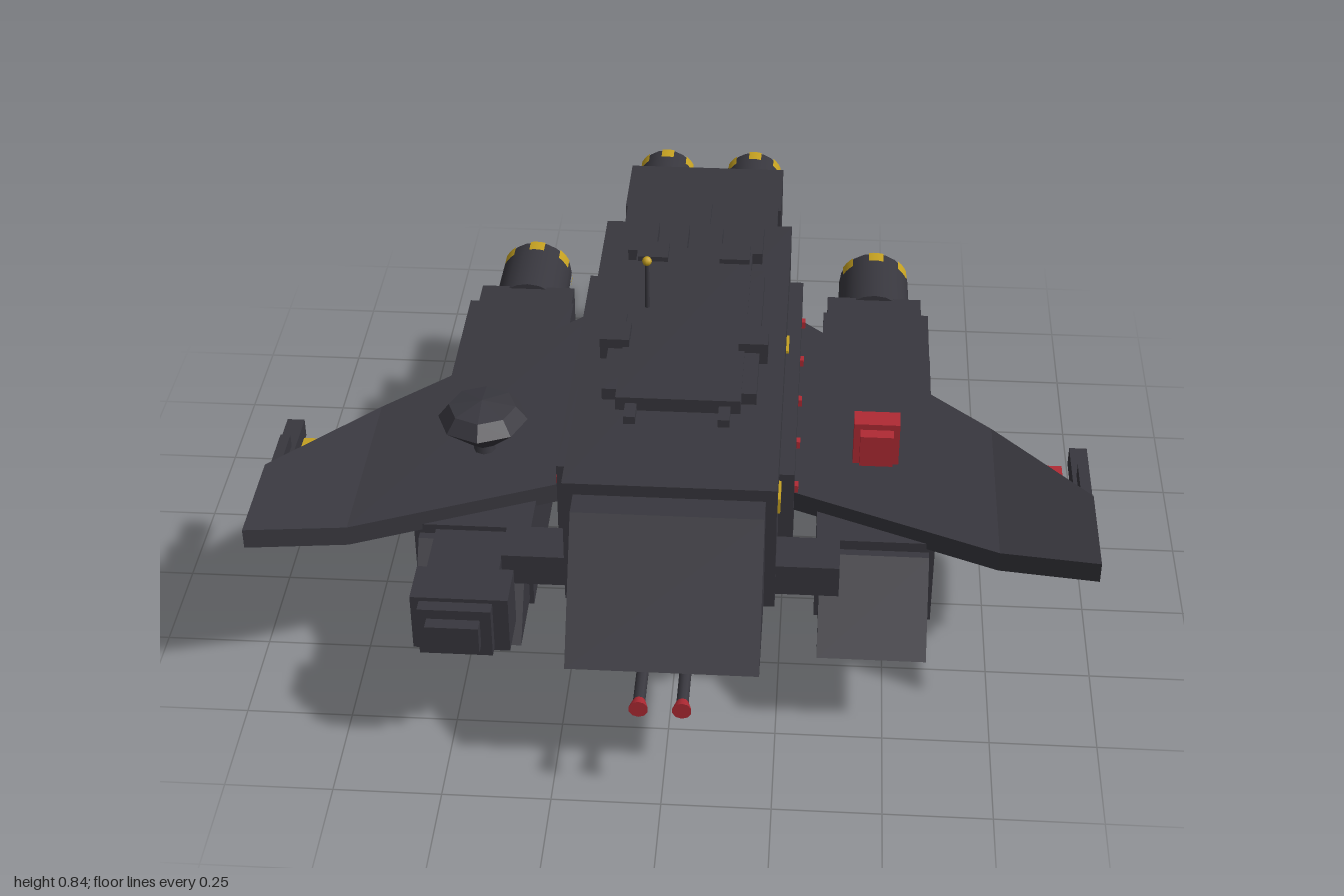
import * as THREE from 'three';

const material = (name, color) => {
  const m = new THREE.MeshStandardMaterial({ color });
  m.name = name;
  return m;
};

export function createModel() {
  const hull = material('dark hull', 0x38373e);
  const red = material('red', 0xb02a34);
  const gold = material('gold', 0xc4a021);
  const pale = material('pale metal', 0x9c9c92);
  const root = new THREE.Group();
  root.name = 'dropship';

  const add = (name, geometry, mat = hull) => {
    const mesh = new THREE.Mesh(geometry, mat);
    mesh.name = name;
    root.add(mesh);
    return mesh;
  };
  // Box from its extents on each axis
  const box = (name, x0, x1, y0, y1, z0, z1, mat) => {
    const g = new THREE.BoxGeometry(Math.abs(x1 - x0), y1 - y0, z1 - z0);
    return add(name, g.translate((x0 + x1) / 2, (y0 + y1) / 2, (z0 + z1) / 2), mat);
  };
  // Side profile of [z, y] points, extruded across x
  const prism = (name, x0, x1, points, mat) => {
    const shape = new THREE.Shape(points.map(([z, y]) => new THREE.Vector2(-z, y)));
    const g = new THREE.ExtrudeGeometry(shape, { depth: Math.abs(x1 - x0), bevelEnabled: false });
    return add(name, g.rotateY(Math.PI / 2).translate(Math.min(x0, x1), 0, 0), mat);
  };
  // Cylinder between two points
  const rod = (name, a, b, ra, rb = ra, mat = hull, sides = 16) => {
    const p = new THREE.Vector3(...a), q = new THREE.Vector3(...b);
    const mesh = add(name, new THREE.CylinderGeometry(rb, ra, p.distanceTo(q), sides), mat);
    mesh.position.copy(p).add(q).multiplyScalar(0.5);
    mesh.quaternion.setFromUnitVectors(new THREE.Vector3(0, 1, 0), q.sub(p).normalize());
  };
  // Engine with gold plates around the rim and a gold core
  const engine = (x, y, z0, z1, r) => {
    rod('engine', [x, y, z0], [x, y, z1], r * 1.03, r, hull, 20);
    rod('engineCore', [x, y, z1 + 0.01], [x, y, z1 - 0.018], r * 0.3, r * 0.3, gold, 8);
    for (let i = 0; i < 7; i++) {
      const g = new THREE.CylinderGeometry(r + 0.003, r + 0.003, 0.04, 3, 1, true, i * Math.PI * 2 / 7 + 0.2, 0.42);
      const plate = add('engineRimPlate', g, gold);
      plate.rotation.x = Math.PI / 2;
      plate.position.set(x, y, z1 + 0.02);
    }
  };
  // Landing leg with foot, mount and an angled door
  const leg = (top, foot, doorX, door) => {
    const [fx, fy, fz] = foot;
    rod('legStrut', top, [fx, fy + 0.02, fz], 0.03);
    rod('legPiston', top, [(top[0] + fx) / 2, (top[1] + fy) / 2, (top[2] + fz) / 2], 0.038);
    rod('foot', [fx, fy, fz], [fx, fy + 0.028, fz], 0.07, 0.055);
    rod('footAnkle', [fx, fy + 0.028, fz], [fx, fy + 0.045, fz], 0.045, 0.03);
    box('legMount', top[0] - 0.06, top[0] + 0.06, top[1] - 0.015, top[1] + 0.02, top[2] - 0.07, top[2] + 0.07);
    for (const s of [-1, 1])
      box('legMountMark', top[0] + s * 0.03, top[0] + s * 0.058, top[1] - 0.02, top[1] - 0.012, top[2] + 0.03, top[2] + 0.068, gold);
    const [[z0, y0], [z1, y1]] = door;
    prism('legDoor', doorX - 0.04, doorX + 0.04, [[z0, y0], [z0 - 0.01, y0], [z1 - 0.01, y1], [z1, y1]]);
  };

  // Main body, sloped nose and tail
  box('hull', -0.24, 0.24, 0.34, 0.67, -0.45, 0.69);
  prism('nose', -0.215, 0.215, [[0.68, 0.355], [0.95, 0.355], [0.755, 0.64], [0.68, 0.64]]);
  box('tailFront', -0.2, 0.2, 0.4, 0.632, -0.62, -0.44);
  box('tailRear', -0.207, 0.207, 0.39, 0.622, -0.83, -0.61);
  box('tailRidge', -0.025, 0.025, 0.62, 0.645, -0.61, -0.44);

  // Roof plating and antenna
  box('roofPlate', -0.145, 0.145, 0.66, 0.705, -0.27, 0.4);
  box('roofPlateWide', -0.18, 0.18, 0.66, 0.7, -0.18, 0.36);
  rod('antenna', [-0.1, 0.7, 0.01], [-0.1, 0.83, 0.01], 0.006, 0.005, hull, 8);
  add('antennaTip', new THREE.SphereGeometry(0.012, 8, 6).translate(-0.1, 0.835, 0.01), gold);

  for (const s of [-1, 1]) {
    // Roof details
    box('roofBackTab', s * 0.1, s * 0.17, 0.66, 0.7, -0.4, -0.26);
    box('roofBackTab', s * 0.022, s * 0.065, 0.66, 0.7, -0.4, -0.26);
    box('roofHatch', s * 0.065, s * 0.14, 0.69, 0.718, -0.275, -0.2);
    box('roofBlock', s * 0.13, s * 0.2, 0.66, 0.725, 0.11, 0.19);
    box('roofBlockStep', s * 0.145, s * 0.18, 0.66, 0.715, 0.06, 0.11);
    box('roofFrontTab', s * 0.095, s * 0.122, 0.66, 0.69, 0.38, 0.455);

    // Side armour with lights
    box('sidePanel', s * 0.23, s * 0.275, 0.33, 0.575, -0.33, 0.5);
    for (let i = 0; i < 5; i++) {
      const z = -0.268 + i * 0.175;
      box('sideLight', s * 0.27, s * 0.284, 0.482, 0.5, z - 0.01, z + 0.01, red);
    }
    box('sideWindow', s * 0.238, s * 0.246, 0.54, 0.58, 0.53, 0.6, gold);
    box('sideSlit', s * 0.238, s * 0.247, 0.574, 0.582, -0.07, 0.0, gold);
    box('podBridge', s * 0.21, s * 0.385, 0.37, 0.45, 0.57, 0.68);

    // Engine pods
    box('pod', s * 0.33, s * 0.603, 0.22, 0.445, -0.395, 0.57);
    prism('podNose', s * 0.34, s * 0.59, [[0.56, 0.235], [0.74, 0.235], [0.59, 0.42], [0.56, 0.42]]);
    box('podTail', s * 0.34, s * 0.587, 0.225, 0.42, -0.51, -0.39);
    box('podSidePanel', s * 0.6, s * 0.608, 0.26, 0.4, -0.27, 0.3);
    engine(s * 0.465, 0.338, -0.5, -0.72, 0.094);
    engine(s * 0.122, 0.51, -0.82, -0.983, 0.078);

    // Forward-swept wing with a raised outer section
    const stations = [
      { x: 0.25, back: -0.32, front: 0.43, y: 0.43 },
      { x: 0.745, back: 0.155, front: 0.638, y: 0.43 },
      { x: 0.962, back: 0.48, front: 0.73, y: 0.483 },
    ];
    const wing = new THREE.BoxGeometry(1, 1, 1, 2, 1, 1);
    const p = wing.attributes.position;
    for (let i = 0; i < p.count; i++) {
      const k = stations[Math.round((p.getX(i) * s + 0.5) * 2)];
      p.setXYZ(i, s * k.x, k.y + (p.getY(i) > 0 ? 0.05 : 0), p.getZ(i) > 0 ? k.front : k.back);
    }
    const flatWing = wing.toNonIndexed();
    flatWing.computeVertexNormals();
    add('wing', flatWing);

    // Wing-tip gun and navigation light
    box('tipPylon', s * 0.942, s * 0.966, 0.45, 0.49, 0.3, 0.52);
    box('tipGun', s * 0.932, s * 0.974, 0.41, 0.457, 0.19, 0.41);
    rod('tipGunMuzzle', [s * 0.953, 0.432, 0.4], [s * 0.953, 0.432, 0.465], 0.016, 0.025, pale, 8);
    box('tipLight', s * 0.865, s * 0.9, 0.48, 0.508, 0.335, 0.39, s > 0 ? red : gold);

    // Rear landing legs
    leg([s * 0.475, 0.205, -0.26], [s * 0.54, 0.005, -0.26], s * 0.44, [[-0.33, 0.21], [-0.395, 0.045]]);

    // Nose guns
    rod('noseGun', [s * 0.048, 0.29, 0.6], [s * 0.048, 0.29, 0.98], 0.014, 0.014, hull, 10);
    rod('noseGunTip', [s * 0.048, 0.29, 0.97], [s * 0.048, 0.29, 1.0], 0.013, 0.022, red, 10);
  }
  box('gunMount', -0.08, 0.08, 0.305, 0.36, 0.6, 0.76);
  leg([0, 0.33, 0.44], [0, 0.13, 0.495], 0, [[0.35, 0.34], [0.285, 0.18]]);

  // Belly lamps
  for (let i = 0; i < 3; i++)
    box('bellyLamp', -0.03, 0.03, 0.32, 0.345, -0.09 - i * 0.08, -0.04 - i * 0.08, gold);

  // Sensor box ahead of the right pod
  box('sensorBody', -0.55, -0.385, 0.315, 0.44, 0.58, 0.87);
  box('sensorCollar', -0.57, -0.35, 0.305, 0.45, 0.73, 0.84);
  box('sensorFace', -0.53, -0.41, 0.345, 0.415, 0.86, 0.9);

  // Dish on the right wing
  const profile = [[0, 0.505], [0.035, 0.505], [0.107, 0.57], [0.08, 0.605], [0, 0.62]];
  const dish = new THREE.LatheGeometry(profile.map(([r, y]) => new THREE.Vector2(r, y)), 8).toNonIndexed();
  dish.computeVertexNormals();
  add('dish', dish.translate(-0.47, 0, 0.31));
  rod('dishStand', [-0.47, 0.47, 0.31], [-0.47, 0.51, 0.31], 0.028, 0.022, hull, 8);

  // Launcher on the left wing
  box('launcher', 0.41, 0.518, 0.485, 0.598, 0.268, 0.322, red);
  box('launcherFace', 0.425, 0.503, 0.5, 0.583, 0.32, 0.352, red);

  return root;
}
